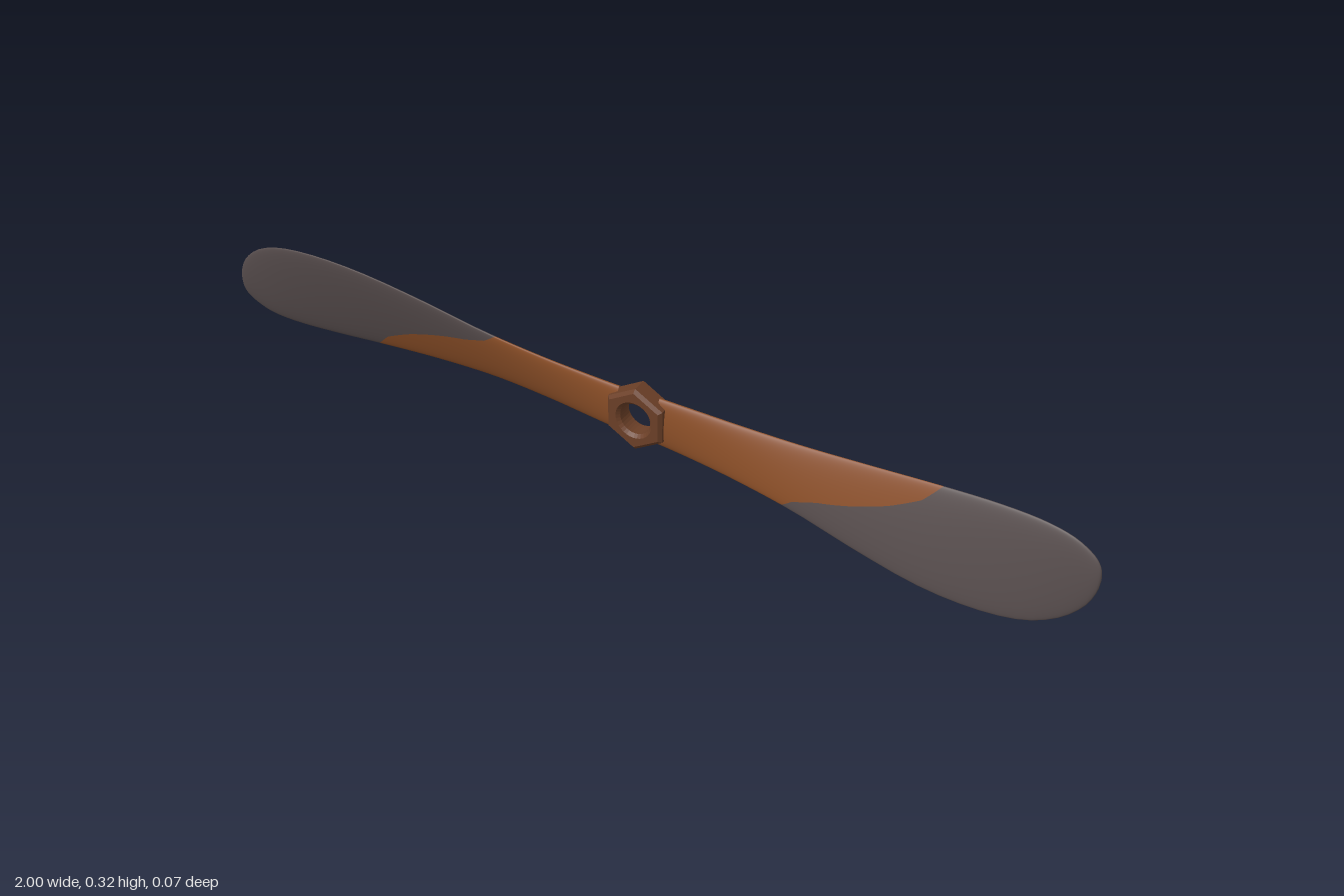
import * as THREE from 'three';

const HUB_Y = 0.167;
const SIDES = 96, STEPS = 22;

// Blade stations: x, top y, bottom y, top z, bottom z, front bulge, back bulge
const STATIONS = [
  [0.03, 0.222, 0.113, -0.012, -0.010, 0.013, 0.015],
  [0.12, 0.216, 0.106, -0.018, -0.006, 0.012, 0.014],
  [0.23, 0.209, 0.094, -0.025, 0.000, 0.011, 0.013],
  [0.36, 0.205, 0.073, -0.031, 0.008, 0.010, 0.013],
  [0.50, 0.209, 0.040, -0.033, 0.018, 0.010, 0.014],
  [0.64, 0.217, 0.013, -0.031, 0.027, 0.010, 0.016],
  [0.76, 0.224, 0.005, -0.026, 0.029, 0.010, 0.016],
  [0.86, 0.225, 0.014, -0.019, 0.026, 0.010, 0.015],
  [0.93, 0.216, 0.041, -0.012, 0.018, 0.009, 0.012],
  [0.975, 0.195, 0.080, -0.007, 0.010, 0.007, 0.009],
  [0.995, 0.173, 0.118, -0.003, 0.004, 0.004, 0.005],
  [1.00, 0.148, 0.148, 0, 0, 0, 0],
];
const LAST = STATIONS.length - 1;

// Smooth interpolation between stations
function station(w) {
  const i = Math.max(0, Math.min(LAST - 1, Math.floor(w))), f = w - i;
  const at = (k) => STATIONS[Math.max(0, Math.min(LAST, k))];
  return STATIONS[0].map((_, c) => {
    const p0 = at(i - 1)[c], p1 = at(i)[c], p2 = at(i + 1)[c], p3 = at(i + 2)[c];
    return 0.5 * (2 * p1 + (p2 - p0) * f + (2 * p0 - 5 * p1 + 4 * p2 - p3) * f * f
      + (3 * p1 - p0 - 3 * p2 + p3) * f * f * f);
  });
}

function stationAtX(x) {
  let lo = 0, hi = LAST;
  for (let k = 0; k < 30; k++) {
    const mid = (lo + hi) / 2;
    if (station(mid)[0] < x) lo = mid; else hi = mid;
  }
  return lo;
}

// Point on the blade skin; angle 0 is the top edge, 0..PI the front
function skin(w, a) {
  const [x, top, bot, zTop, zBot, front, back] = station(w);
  const t = 0.5 + 0.5 * Math.cos(a), s = Math.sin(a);
  return new THREE.Vector3(x, bot + (top - bot) * t - HUB_Y,
    zBot + (zTop - zBot) * t + s * (s > 0 ? front : back));
}

// Where the dark coating begins: an S-curve in front, steps behind
function coatingEdge(a) {
  const t = 0.5 + 0.5 * Math.cos(a), ss = THREE.MathUtils.smoothstep;
  if (Math.sin(a) >= 0) {
    const curve = [0.335, 0.36, 0.41, 0.485, 0.56, 0.625, 0.66];
    const i = Math.min(5, Math.floor(t * 6)), f = t * 6 - i;
    return curve[i] + (curve[i + 1] - curve[i]) * f;
  }
  return 0.335 + 0.145 * ss(t, 0.2, 0.26) + 0.18 * ss(t, 0.66, 0.76);
}

// Blade skin from one spanwise limit to another, with smooth normals
function bladePart(from, to) {
  const pos = [], nor = [], index = [];
  const e = 0.01;
  for (let j = 0; j <= SIDES; j++) {
    const a = (j / SIDES) * Math.PI * 2, w0 = from(a), w1 = to(a);
    for (let i = 0; i <= STEPS; i++) {
      const w = w0 + (w1 - w0) * (i / STEPS);
      const c = Math.min(Math.max(w, e), LAST - 0.03);
      const n = skin(c, a + e).sub(skin(c, a - e))
        .cross(skin(c + e, a).sub(skin(c - e, a))).normalize();
      pos.push(...skin(w, a).toArray());
      nor.push(...n.toArray());
      if (i < STEPS && j < SIDES) {
        const p = j * (STEPS + 1) + i, q = p + STEPS + 1;
        index.push(p, q, p + 1, q, q + 1, p + 1);
      }
    }
  }
  const g = new THREE.BufferGeometry();
  g.setAttribute('position', new THREE.Float32BufferAttribute(pos, 3));
  g.setAttribute('normal', new THREE.Float32BufferAttribute(nor, 3));
  g.setIndex(index);
  return g;
}

// Flat outline with a round bore
function bored(radius, sides, bore) {
  const ring = (r, n) => Array.from({ length: n }, (_, k) => {
    const a = Math.PI / 2 + (k / n) * Math.PI * 2;
    return new THREE.Vector2(r * Math.cos(a), r * Math.sin(a));
  });
  const shape = new THREE.Shape(ring(radius, sides));
  shape.holes.push(new THREE.Path(ring(bore, 32).reverse()));
  return shape;
}

export function createModel() {
  const material = (name, color) => {
    const m = new THREE.MeshStandardMaterial({ color });
    m.name = name;
    return m;
  };
  const wood = material('wood', 0x8a4e27);
  const coating = material('darkCoating', 0x564c4c);
  const nutBrown = material('nutBrown', 0x6b3f27);

  const model = new THREE.Group();
  model.name = 'propeller';
  const add = (parent, name, geometry, mat) => {
    const mesh = new THREE.Mesh(geometry, mat);
    mesh.name = name;
    parent.add(mesh);
    return mesh;
  };

  // Two blades, half a turn apart
  const edge = (a) => stationAtX(coatingEdge(a));
  const root = bladePart(() => stationAtX(0.046), edge);
  const tip = bladePart(edge, () => LAST);
  for (const [k, name] of ['leftBlade', 'rightBlade'].entries()) {
    const blade = new THREE.Group();
    blade.name = name;
    blade.position.y = HUB_Y;
    blade.rotation.z = k * Math.PI;
    add(blade, 'bladeRoot', root, wood);
    add(blade, 'bladeTip', tip, coating);
    model.add(blade);
  }

  // Wooden hub joining the blades
  const hub = new THREE.ExtrudeGeometry(bored(0.056, 40, 0.037), { depth: 0.028, bevelEnabled: false });
  add(model, 'hub', hub, wood).position.set(0, HUB_Y, -0.025);

  // Chamfered hexagonal nut through the hub
  const bevel = 0.007;
  const nut = new THREE.ExtrudeGeometry(bored(0.065, 6, 0.042), {
    depth: 0.034, bevelThickness: bevel, bevelSize: bevel, bevelSegments: 1,
  });
  add(model, 'hexNut', nut, nutBrown).position.set(0, HUB_Y, -0.027);

  return model;
}
